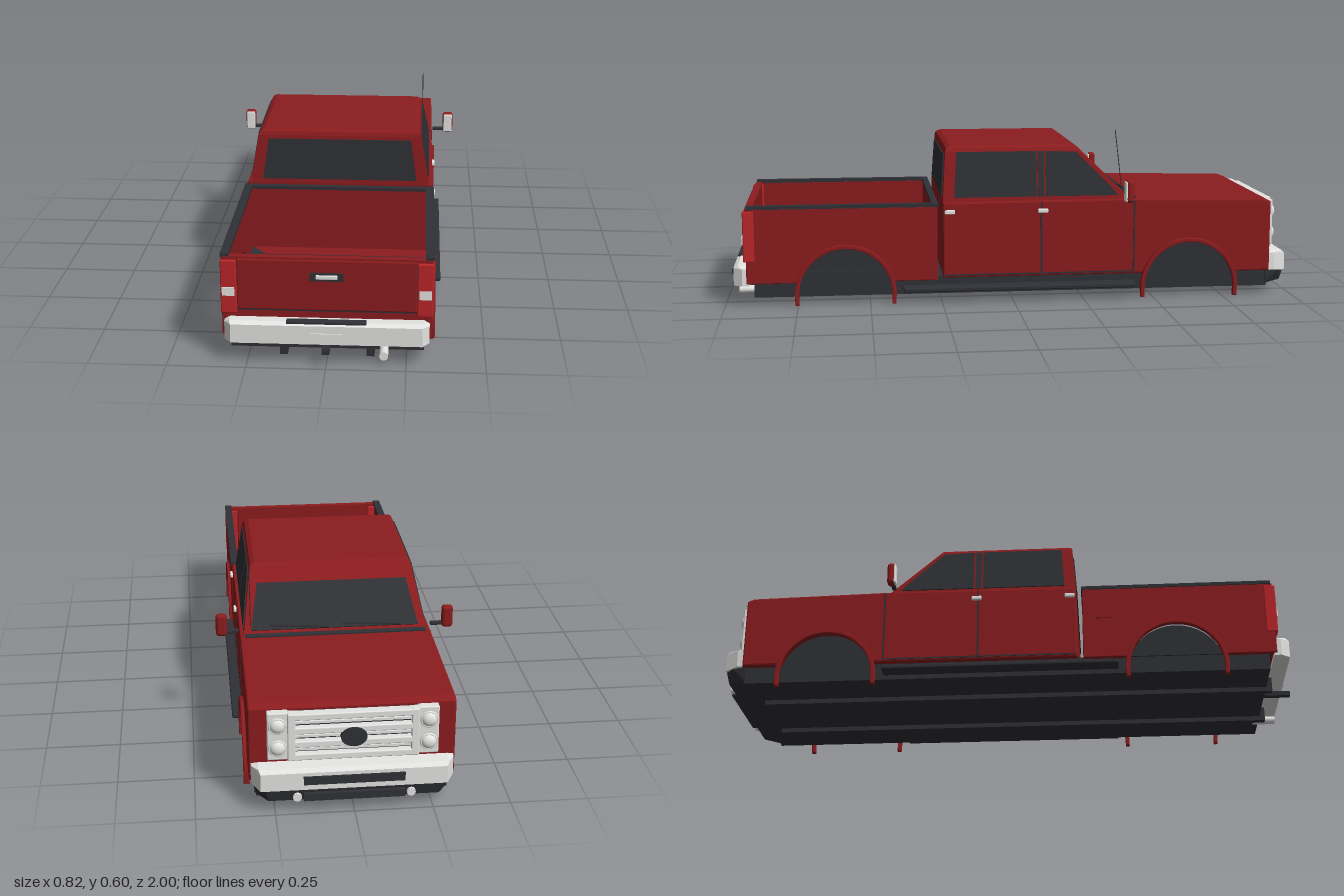
import * as THREE from 'three';
import { ConvexGeometry } from 'three/addons/geometries/ConvexGeometry.js';
import { RoundedBoxGeometry } from 'three/addons/geometries/RoundedBoxGeometry.js';

const mat = (name, color, side = THREE.FrontSide) => {
  const m = new THREE.MeshStandardMaterial({ color, side });
  m.name = name;
  return m;
};
const V = (x, y, z) => new THREE.Vector3(x, y, z);
const ARCHES = [-0.63, 0.585]; // wheel centres along z
const ARCH_Y = 0.035, ARCH_R = 0.168;

export function createModel() {
  const truck = new THREE.Group();
  truck.name = 'pickupTruck';
  const red = mat('bodyRed', 0x8b1c1e);
  const dark = mat('darkTrim', 0x303136, THREE.DoubleSide);
  const glass = mat('tintedGlass', 0x2f3034);
  const chrome = mat('chrome', 0xe4e4e2);
  const lampRed = mat('tailLampRed', 0xbb2629);
  const lens = mat('clearLens', 0xe6e6e4);

  const add = (name, geo, m, x = 0, y = 0, z = 0) => {
    const mesh = new THREE.Mesh(geo, m);
    mesh.name = name;
    mesh.position.set(x, y, z);
    truck.add(mesh);
    return mesh;
  };
  // box given by its extents
  const box = (name, m, x0, x1, y0, y1, z0, z1, r = 0) => {
    const s = [x1 - x0, y1 - y0, z1 - z0];
    const g = r ? new RoundedBoxGeometry(...s, 3, r) : new THREE.BoxGeometry(...s);
    return add(name, g, m, (x0 + x1) / 2, (y0 + y1) / 2, (z0 + z1) / 2);
  };
  const pair = (name, m, x0, x1, ...rest) => {
    box(name + 'Left', m, x0, x1, ...rest);
    box(name + 'Right', m, -x1, -x0, ...rest);
  };
  // profile drawn in (z, y), extruded across x
  const across = (name, shape, width, m, x = 0, bevel = 0) => {
    const depth = width - 2 * bevel;
    const g = new THREE.ExtrudeGeometry(shape, {
      depth, curveSegments: 28, bevelEnabled: bevel > 0,
      bevelSize: bevel, bevelThickness: bevel, bevelOffset: -bevel, bevelSegments: 2,
    });
    g.translate(0, 0, -depth / 2).rotateY(-Math.PI / 2);
    return add(name, g, m, x);
  };
  // side profile with a wheel arch cut into its lower edge
  const archedProfile = (z0, z1, y0, archZ, top) => {
    const a = Math.asin((y0 - ARCH_Y) / ARCH_R);
    const s = new THREE.Shape();
    s.moveTo(...top[top.length - 1]);
    s.lineTo(z0, y0);
    s.absarc(archZ, ARCH_Y, ARCH_R, Math.PI - a, a, true);
    s.lineTo(z1, y0);
    top.forEach(([z, y]) => s.lineTo(z, y));
    return s;
  };
  // thin plate lying on a sloped surface
  const pane = (name, m, pts, out, t = 0.004) => {
    const n = out.clone().normalize().multiplyScalar(t);
    return add(name, new ConvexGeometry([...pts, ...pts.map(p => p.clone().add(n))]), m);
  };
  // tapered bar from mirrored corners [half width, y, z]
  const bar = (name, m, corners) =>
    add(name, new ConvexGeometry(corners.flatMap(([w, y, z]) => [V(w, y, z), V(-w, y, z)])), m);

  // Cab lower body and hood
  across('cabAndHoodBody', archedProfile(-0.925, 0.245, 0.085, ARCHES[0],
    [[0.245, 0.35], [-0.43, 0.354], [-0.9, 0.345], [-0.925, 0.335]]), 0.656, red, 0, 0.006);

  // Greenhouse: rings of corners at the belt, shoulder and roof
  const rings = [[0.315, 0.35, 0.245, -0.42], [0.286, 0.522, 0.234, -0.238],
    [0.28, 0.535, 0.23, -0.232], [0.265, 0.543, 0.215, -0.222]];
  add('greenhouse', new ConvexGeometry(rings.flatMap(([w, y, zb, zf]) =>
    [V(w, y, zb), V(-w, y, zb), V(w, y, zf), V(-w, y, zf)])), red);
  const rise = y => (y - 0.35) / 0.172;
  const sideX = y => 0.315 - 0.029 * rise(y);
  const rearZ = y => 0.245 - 0.011 * rise(y);
  const frontZ = y => -0.42 + 0.182 * rise(y);
  const trapezoid = (w0, y0, w1, y1, zAt) => [V(-w0, y0, zAt(y0)), V(w0, y0, zAt(y0)),
    V(w1, y1, zAt(y1)), V(-w1, y1, zAt(y1))];
  pane('rearWindow', glass, trapezoid(0.272, 0.365, 0.25, 0.51, rearZ), V(0, 0.06, 1));
  pane('windshield', glass, trapezoid(0.288, 0.364, 0.255, 0.512, frontZ), V(0, 0.182, -0.172));
  const sideWindows = {
    rearSideWindow: [[0.205, 0.365], [-0.085, 0.365], [-0.085, 0.522], [0.195, 0.522]],
    windowDivider: [[-0.09, 0.365], [-0.112, 0.365], [-0.112, 0.522], [-0.09, 0.522]],
    frontSideWindow: [[-0.118, 0.365], [-0.375, 0.365], [-0.352, 0.392], [-0.226, 0.518], [-0.118, 0.522]],
  };
  for (const s of [1, -1]) {
    for (const [name, pts] of Object.entries(sideWindows))
      pane(name, name === 'windowDivider' ? dark : glass,
        pts.map(([z, y]) => V(s * sideX(y), y, z)), V(s, 0.168, 0));
  }
  box('cowl', dark, -0.31, 0.31, 0.348, 0.358, -0.44, -0.415);
  for (const x of [-0.13, 0.12]) {
    const w = box('wiper', dark, x - 0.1, x + 0.1, 0.372, 0.378, -0.408, -0.402);
    w.rotation.z = 0.06;
  }

  // Doors: seams and handles
  for (const z of [-0.1, -0.43]) pair('doorSeam', dark, 0.326, 0.3295, 0.095, 0.348, z - 0.003, z + 0.003);
  pair('sillSeam', dark, 0.326, 0.3295, 0.092, 0.097, -0.43, 0.24);
  for (const z of [0.222, -0.105]) pair('doorHandle', chrome, 0.326, 0.338, 0.31, 0.325, z - 0.018, z + 0.018, 0.004);

  // Cargo bed
  for (const s of [1, -1])
    across('bedSide', archedProfile(0.265, 0.925, 0.078, ARCHES[1],
      [[0.925, 0.34], [0.265, 0.34]]), 0.02, red, s * 0.32, 0.003);
  box('bedFrontWall', red, -0.312, 0.312, 0.08, 0.34, 0.265, 0.282);
  box('bedFloor', dark, -0.312, 0.312, 0.085, 0.115, 0.28, 0.905);
  const floorPatch = (name, pts) => {
    const g = new THREE.ShapeGeometry(new THREE.Shape(pts.map(([x, z]) => new THREE.Vector2(x, -z))));
    add(name, g.rotateX(-Math.PI / 2), red, 0, 0.118, 0);
  };
  floorPatch('bedFloorFront', [[-0.31, 0.28], [-0.19, 0.43], [0.31, 0.43], [0.31, 0.28]]);
  floorPatch('bedFloorCorner', [[0.14, 0.74], [0.31, 0.9], [0.31, 0.74]]);
  pair('bedRail', dark, 0.306, 0.333, 0.338, 0.35, 0.262, 0.92);
  box('bedFrontRail', dark, -0.31, 0.31, 0.338, 0.349, 0.262, 0.284);
  box('fuelDoor', red, -0.335, -0.328, 0.225, 0.285, 0.31, 0.37);

  // Tailgate and rear lamps
  box('rearPanel', red, -0.328, 0.328, 0.085, 0.165, 0.9, 0.922);
  box('tailgate', red, -0.281, 0.281, 0.168, 0.336, 0.9, 0.93, 0.004);
  box('tailgateTop', red, -0.31, 0.31, 0.325, 0.342, 0.9, 0.924);
  box('tailgateSeam', dark, -0.285, 0.285, 0.163, 0.169, 0.915, 0.925);
  box('tailgateHandleRecess', dark, -0.053, 0.053, 0.269, 0.296, 0.925, 0.935);
  box('tailgateHandle', chrome, -0.034, 0.034, 0.276, 0.29, 0.93, 0.94, 0.003);
  pair('tailLamp', lampRed, 0.282, 0.332, 0.155, 0.332, 0.895, 0.934, 0.004);
  pair('reverseLamp', lens, 0.288, 0.327, 0.215, 0.243, 0.93, 0.938);

  // Rear bumper, plate, hitch and exhaust
  bar('rearBumper', chrome, [[0.322, 0.07, 0.915], [0.322, 0.132, 0.915], [0.322, 0.07, 0.94],
    [0.322, 0.13, 0.94], [0.305, 0.14, 0.92], [0.305, 0.14, 0.955], [0.3, 0.066, 0.962],
    [0.3, 0.132, 0.97], [0.3, 0.07, 0.97]]);
  box('bumperStep', dark, -0.125, 0.125, 0.137, 0.143, 0.938, 0.966);
  box('plateHolder', chrome, -0.05, 0.05, 0.078, 0.108, 0.965, 0.974);
  box('hitch', dark, -0.012, 0.012, 0.05, 0.066, 0.86, 1.0);
  const exhaust = add('exhaustTip', new THREE.CylinderGeometry(0.014, 0.014, 0.08, 20), chrome, 0.18, 0.03, 0.92);
  exhaust.rotation.x = Math.PI / 2;

  // Chassis and running boards
  box('underbody', dark, -0.306, 0.306, 0.026, 0.088, -0.92, 0.9);
  pair('frameRail', dark, 0.125, 0.15, 0.01, 0.06, -0.88, 0.92);
  pair('runningBoard', dark, 0.3, 0.362, 0.042, 0.058, -0.43, 0.385, 0.005);

  // Wheel wells and arch flares
  for (const z of ARCHES) {
    const well = new THREE.CylinderGeometry(ARCH_R - 0.002, ARCH_R - 0.002, 0.61, 40, 1, false, 0, Math.PI);
    add('wheelWell', well.rotateZ(Math.PI / 2), dark, 0, ARCH_Y, z);
    const flare = new THREE.Shape();
    flare.moveTo(z + 0.174, 0);
    flare.lineTo(z + 0.176, ARCH_Y);
    flare.absarc(z, ARCH_Y, 0.176, 0, Math.PI, false);
    flare.lineTo(z - 0.174, 0);
    flare.lineTo(z - 0.16, 0);
    flare.absarc(z, ARCH_Y, 0.161, Math.PI, 0, true);
    flare.lineTo(z + 0.16, 0);
    for (const s of [1, -1]) across('archFlare', flare, 0.02, red, s * 0.331, 0.003);
  }

  // Grille with headlamps
  box('grilleBacking', dark, -0.25, 0.25, 0.172, 0.328, -0.94, -0.92);
  for (const y of [0.18, 0.225, 0.272, 0.32])
    box('grilleBar', chrome, -0.2, 0.2, y - 0.011, y + 0.011, -0.962, -0.93, 0.004);
  for (const y of [0.2025, 0.2485, 0.296]) box('grilleSlat', chrome, -0.19, 0.19, y - 0.004, y + 0.004, -0.95, -0.93);
  pair('grilleUpright', chrome, 0.182, 0.207, 0.168, 0.332, -0.962, -0.93, 0.004);
  pair('headlampPanel', chrome, 0.204, 0.27, 0.168, 0.332, -0.95, -0.915, 0.004);
  for (const s of [1, -1]) for (const y of [0.21, 0.288]) {
    add('headlampRim', new THREE.TorusGeometry(0.025, 0.004, 8, 24), chrome, s * 0.238, y, -0.95);
    const lamp = add('headlamp', new THREE.SphereGeometry(0.024, 20, 12), lens, s * 0.238, y, -0.95);
    lamp.scale.z = 0.6;
  }
  const boss = add('grilleBoss', new THREE.CylinderGeometry(0.032, 0.032, 0.016, 24), dark, 0, 0.248, -0.962);
  boss.rotation.x = Math.PI / 2;
  boss.scale.x = 1.3;

  // Front bumper and air dam
  bar('frontBumper', chrome, [[0.322, 0.085, -0.925], [0.322, 0.148, -0.925], [0.32, 0.085, -0.945],
    [0.32, 0.148, -0.945], [0.3, 0.156, -0.935], [0.3, 0.152, -0.978], [0.295, 0.14, -0.99], [0.295, 0.08, -0.99]]);
  box('bumperSlot', dark, -0.16, 0.16, 0.1, 0.128, -0.996, -0.985);
  bar('airDam', dark, [[0.31, 0.035, -0.915], [0.315, 0.084, -0.915], [0.305, 0.084, -0.965],
    [0.28, 0.082, -0.99], [0.27, 0.04, -0.98]]);
  box('airDamLip', dark, -0.16, 0.16, 0.045, 0.07, -1.0, -0.96);
  for (const s of [1, -1]) {
    const fog = add('fogLamp', new THREE.CylinderGeometry(0.014, 0.014, 0.02, 16), lens, s * 0.18, 0.056, -0.985);
    fog.rotation.x = Math.PI / 2;
  }

  // Door mirrors and antenna
  pair('mirrorArm', dark, 0.331, 0.378, 0.357, 0.37, -0.405, -0.39, 0.004);
  pair('mirrorHousing', red, 0.37, 0.409, 0.35, 0.43, -0.414, -0.386, 0.012);
  pair('mirrorGlass', lens, 0.373, 0.406, 0.354, 0.424, -0.392, -0.383, 0.004);
  const mast = new THREE.LineCurve3(V(0.29, 0.35, -0.395), V(0.29, 0.595, -0.365));
  add('antenna', new THREE.TubeGeometry(mast, 1, 0.0015, 6), dark);

  return truck;
}
